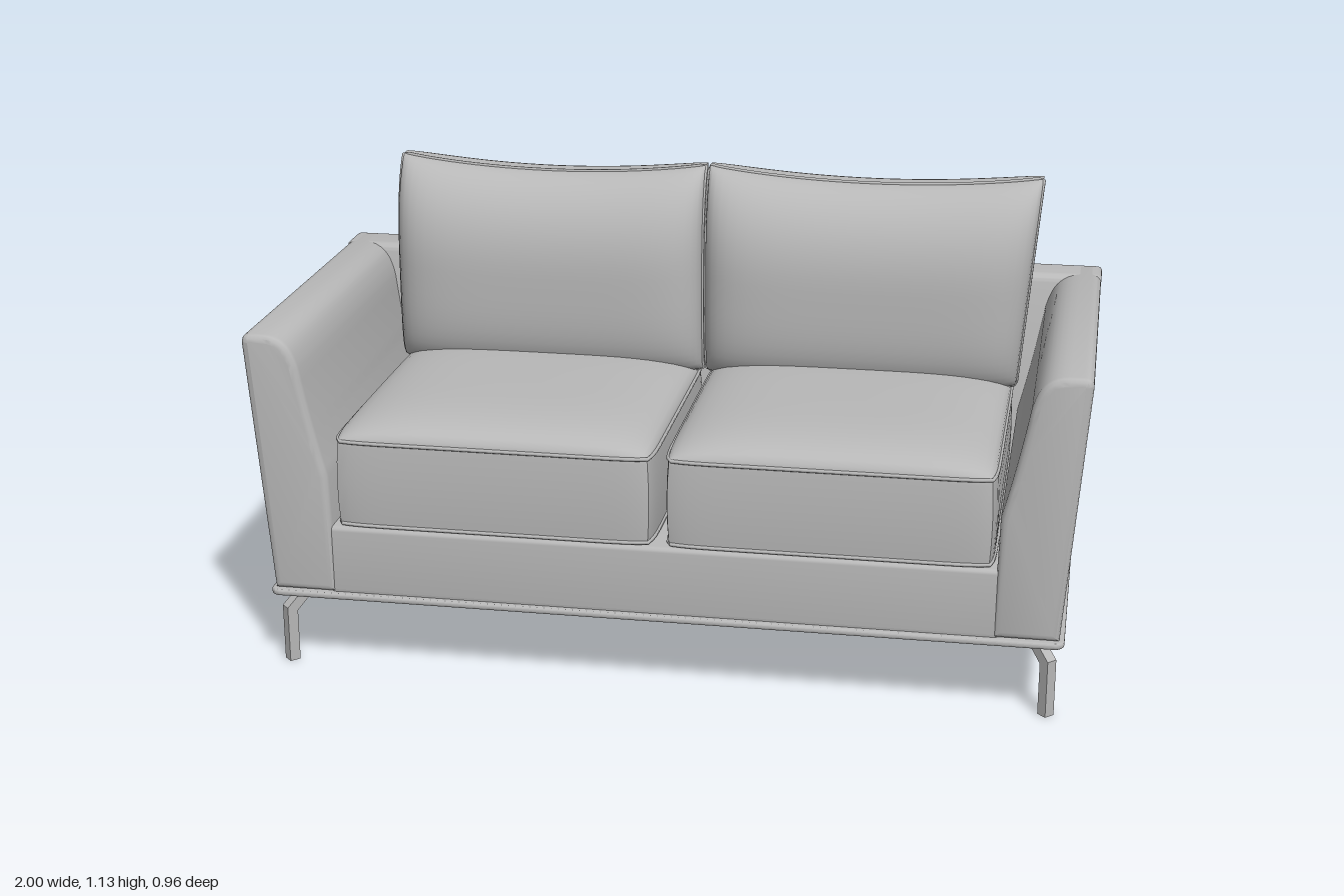
import * as THREE from 'three';
import { mergeVertices, toCreasedNormals } from 'three/addons/utils/BufferGeometryUtils.js';

const upholstery = new THREE.MeshStandardMaterial({ color: 0xb8b8b8 });
upholstery.name = 'grey upholstery';

const lerp = (a, b, t) => a + (b - a) * t;
const height = (y) => (y - 0.2) / 0.65; // 0 at the base of the shell, 1 at its top

function warp(geo, rule) {
  const p = geo.attributes.position;
  for (let i = 0; i < p.count; i++) p.setXYZ(i, ...rule(p.getX(i), p.getY(i), p.getZ(i)));
  return geo;
}

function addMesh(group, name, geo) {
  const mesh = new THREE.Mesh(geo, upholstery);
  mesh.name = name;
  group.add(mesh);
  return mesh;
}

// Bevelled extrusion centred on z, keeping the outline at its drawn size
function prism(shape, length, bevel) {
  const geo = new THREE.ExtrudeGeometry(shape, {
    depth: length - 2 * bevel, bevelSize: bevel, bevelThickness: bevel,
    bevelOffset: -bevel, bevelSegments: 3, curveSegments: 10,
  });
  return geo.translate(0, 0, bevel - length / 2);
}

// Subdivided cube mapped through a rule of (u, v, w), each from -1 to 1
function pillow(rule, nx, ny, nz) {
  const box = new THREE.BoxGeometry(2, 2, 2, nx, ny, nz);
  box.deleteAttribute('normal');
  box.deleteAttribute('uv');
  const s = (t) => Math.sin((t * Math.PI) / 2);
  const geo = mergeVertices(warp(box, (x, y, z) => rule(s(x), s(y), s(z))));
  return toCreasedNormals(geo, 0.75);
}

// Closed piping through (u, v) points around a square
function piping(point) {
  const pts = [];
  const n = 14;
  for (let side = 0; side < 4; side++) {
    for (let i = 0; i < n; i++) {
      const t = Math.sin(((i / n) * 2 - 1) * Math.PI / 2);
      const [u, v] = [[t, -1], [1, t], [-t, 1], [-1, -t]][side];
      pts.push(new THREE.Vector3(...point(u, v)));
    }
  }
  return new THREE.TubeGeometry(new THREE.CatmullRomCurve3(pts, true), 120, 0.005, 6, true);
}

function makeArm(s) {
  const shape = new THREE.Shape();
  shape.moveTo(s * 0.95, 0.2);
  shape.lineTo(s * 0.998, 0.825);
  shape.quadraticCurveTo(s * 1.0, 0.85, s * 0.975, 0.85);
  shape.lineTo(s * 0.945, 0.85);
  shape.bezierCurveTo(s * 0.89, 0.848, s * 0.875, 0.815, s * 0.862, 0.77);
  shape.quadraticCurveTo(s * 0.835, 0.62, s * 0.803, 0.5);
  shape.lineTo(s * 0.795, 0.2);
  shape.closePath();
  // Front and back ends lean outward towards the top
  const geo = warp(prism(shape, 2, 0.018), (x, y, z) => {
    const t = height(y);
    return [x, y, z > 0 ? 0.478 - (1 - z) - (1 - t) * 0.01 : -0.48 + (z + 1) + (1 - t) * 0.035];
  });
  return toCreasedNormals(geo, 0.6);
}

function makeBackrest() {
  const shape = new THREE.Shape();
  shape.moveTo(-0.445, 0.2);
  shape.lineTo(-0.479, 0.835);
  shape.quadraticCurveTo(-0.48, 0.85, -0.465, 0.85);
  shape.lineTo(-0.39, 0.85);
  shape.quadraticCurveTo(-0.37, 0.85, -0.365, 0.825);
  shape.lineTo(-0.3, 0.45);
  shape.lineTo(-0.3, 0.2);
  shape.closePath();
  const geo = prism(shape, 2, 0.012).rotateY(-Math.PI / 2);
  warp(geo, (x, y, z) => [x * (0.95 + 0.05 * height(y)), y, z]);
  return toCreasedNormals(geo, 0.6);
}

function roundedRect(w, d, r) {
  const s = new THREE.Shape();
  s.absarc(w - r, d - r, r, 0, Math.PI / 2);
  s.absarc(r - w, d - r, r, Math.PI / 2, Math.PI);
  s.absarc(r - w, r - d, r, Math.PI, Math.PI * 1.5);
  s.absarc(w - r, r - d, r, Math.PI * 1.5, Math.PI * 2);
  return s;
}

// Bent square bar, turned so that its top leans towards the middle
function makeLeg(sx, sz) {
  const h = 0.0135;
  const shape = new THREE.Shape([
    [h, 0], [h, 0.142], [-0.052, 0.2], [-0.09, 0.2], [-h, 0.13], [-h, 0],
  ].map(([x, y]) => new THREE.Vector2(x, y)));
  const geo = new THREE.ExtrudeGeometry(shape, { depth: 2 * h, bevelEnabled: false });
  geo.translate(0, 0, -h).rotateY(Math.atan2(-sz, sx));
  return geo.translate(sx * 0.926, 0, sz > 0 ? 0.433 : -0.389);
}

export function createModel() {
  const sofa = new THREE.Group();
  sofa.name = 'sofa';

  // Shell
  addMesh(sofa, 'leftArm', makeArm(1));
  addMesh(sofa, 'rightArm', makeArm(-1));
  addMesh(sofa, 'backrest', makeBackrest());
  const rail = prism(roundedRect(0.81, 0.0875, 0.012), 0.88, 0.012);
  addMesh(sofa, 'seatBase', toCreasedNormals(rail.translate(0, 0.2825, 0.022), 0.6));
  const plinth = prism(roundedRect(0.962, 0.464, 0.025), 0.016, 0.005).rotateX(-Math.PI / 2);
  addMesh(sofa, 'basePlate', toCreasedNormals(plinth.translate(0, 0.192, 0.01), 0.6));

  // Legs
  for (const sx of [1, -1]) {
    for (const sz of [1, -1]) {
      addMesh(sofa, `${sz > 0 ? 'front' : 'back'}${sx > 0 ? 'Left' : 'Right'}Leg`, makeLeg(sx, sz));
    }
  }

  // Seat cushions with a crowned top and piped edges
  for (const s of [1, -1]) {
    const side = s > 0 ? 'left' : 'right';
    const plan = (u, v, k) => [
      s * 0.403 + u * 0.391 * k * (1 - 0.025 * v ** 12),
      0.075 + v * 0.385 * k * (1 - 0.025 * u ** 12),
    ];
    const seat = pillow((u, w, v) => {
      const [x, z] = plan(u, v, 1 - 0.012 * w * w);
      const crown = w > 0 ? 0.062 * Math.sqrt((1 - u ** 4) * (1 - v ** 4)) * w : 0;
      return [x, 0.48 + w * 0.108 + crown, z];
    }, 24, 6, 24);
    addMesh(sofa, `${side}SeatCushion`, seat);
    for (const [edge, y] of [['Upper', 0.586], ['Lower', 0.376]]) {
      addMesh(sofa, `${side}Seat${edge}Piping`, piping((u, v) => {
        const [x, z] = plan(u, v, 0.99);
        return [x, y, z];
      }));
    }
  }

  // Back cushions, plump in the middle and thin along the top
  for (const [name, x0, x1, flare] of [['rightBackCushion', -0.798, -0.005, 0], ['leftBackCushion', 0.005, 0.8, 0.045]]) {
    const place = (u, v, w) => {
      const t = (v + 1) / 2;
      const x = lerp(x0, x1 + flare * t, (u + 1) / 2);
      const y = lerp(0.6, 1.098 + 0.028 * u * u, t);
      const across = 0.4 + 0.6 * Math.sqrt(Math.max(0, 1 - u ** 6));
      const up = v > 0
        ? 0.2 + 0.8 * Math.sqrt(Math.max(0, 1 - v * v))
        : 0.5 + 0.5 * Math.sqrt(Math.max(0, 1 - v ** 4));
      const z = -0.25 - 0.03 * Math.max(0, v) ** 3 + w * 0.14 * across * up;
      return [x, y, z];
    };
    addMesh(sofa, name, pillow(place, 28, 24, 4));
    addMesh(sofa, `${name}Piping`, piping((u, v) => place(u, v, 0.9)));
  }

  return sofa;
}
